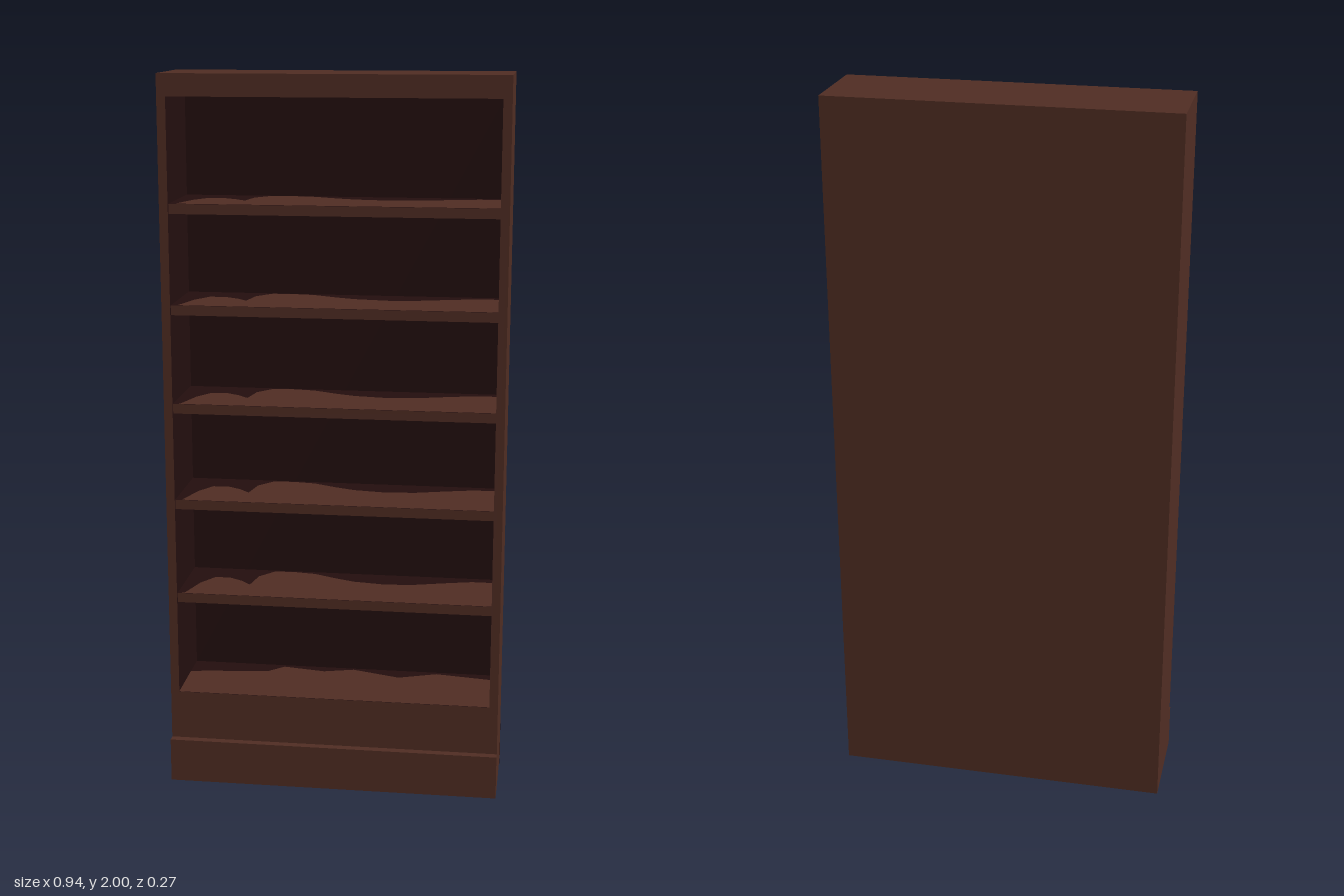
import * as THREE from 'three';

export function createModel() {
  const model = new THREE.Group();
  const wood = new THREE.MeshStandardMaterial({ color: 0x502d23 });
  wood.name = 'brown wood';
  const dark = new THREE.MeshStandardMaterial({ color: 0x230e0e });
  dark.name = 'dark interior';

  // Box from its limits; darkFaces lists the faces (px nx py ny pz nz) that are dark
  const faces = ['px', 'nx', 'py', 'ny', 'pz', 'nz'];
  function board(name, [x0, x1], [y0, y1], [z0, z1], darkFaces = []) {
    const geo = new THREE.BoxGeometry(x1 - x0, y1 - y0, z1 - z0);
    const mesh = new THREE.Mesh(geo, faces.map((f) => (darkFaces.includes(f) ? dark : wood)));
    mesh.position.set((x0 + x1) / 2, (y0 + y1) / 2, (z0 + z1) / 2);
    mesh.name = name;
    model.add(mesh);
  }
  function flatShape(points) {
    return new THREE.ShapeGeometry(new THREE.Shape(points.map(([x, y]) => new THREE.Vector2(x, y))));
  }

  const W = 0.467, IN = 0.443, BACK = -0.135, FRONT = 0.113;
  const FLOOR = 0.265, CEIL = 1.94, PANEL = -0.126;

  // Carcass
  board('base', [-W, W], [0, FLOOR], [BACK, FRONT], ['py', 'ny']);
  board('plinth', [-W, W], [0, 0.125], [FRONT, 0.135], ['ny']);
  board('rightSide', [-W, -IN], [FLOOR, CEIL], [BACK, FRONT], ['px']);
  board('leftSide', [IN, W], [FLOOR, CEIL], [BACK, FRONT], ['nx']);
  board('topBoard', [-W, W], [CEIL, 2], [BACK, FRONT], ['ny']);
  board('backPanel', [-IN, IN], [FLOOR, CEIL], [BACK, PANEL], ['pz']);

  // Worn wood on the upper faces: wavy rear outline as [distance from right, depth]
  function wornTop(name, outline, y, zFront) {
    const geo = flatShape([[-IN, 0], [IN, 0], ...outline.map(([a, d]) => [a - IN, d]).reverse()]);
    const mesh = new THREE.Mesh(geo.rotateX(-Math.PI / 2), wood);
    mesh.position.set(0, y + 0.001, zFront);
    mesh.name = name;
    model.add(mesh);
  }
  const shelfWear = [[0.02, 0.004], [0.046, 0.093], [0.078, 0.146], [0.12, 0.15], [0.161, 0.125], [0.19, 0.095],
    [0.203, 0.17], [0.243, 0.22], [0.3, 0.222], [0.362, 0.213], [0.43, 0.18], [0.484, 0.159],
    [0.577, 0.145], [0.66, 0.155], [0.745, 0.18], [0.82, 0.2], [0.886, 0.2]];
  const floorWear = [[0, 0.155], [0.07, 0.168], [0.137, 0.171], [0.229, 0.187], [0.269, 0.225], [0.39, 0.204],
    [0.475, 0.228], [0.612, 0.184], [0.72, 0.225], [0.82, 0.21], [0.886, 0.2]];

  // Shelves
  const shelfFront = 0.105;
  for (let i = 0; i < 5; i++) {
    const y = 0.547 + i * 0.2743;
    board('shelf', [-IN, IN], [y - 0.0135, y + 0.0135], [PANEL, shelfFront], ['py', 'ny']);
    wornTop('shelfTop', shelfWear, y + 0.0135, shelfFront);
  }
  wornTop('floorTop', floorWear, FLOOR, FRONT);

  // Dark mark low on the left side, near the back
  const mark = new THREE.Mesh(flatShape([[0.085, 0], [0.125, 0], [0.124, 0.045], [0.113, 0.07], [0.113, 0.13],
    [0.105, 0.155], [0.098, 0.14], [0.096, 0.07], [0.087, 0.05]]).rotateY(Math.PI / 2), dark);
  mark.position.x = W + 0.001;
  mark.name = 'sideMark';
  model.add(mark);

  return model;
}
